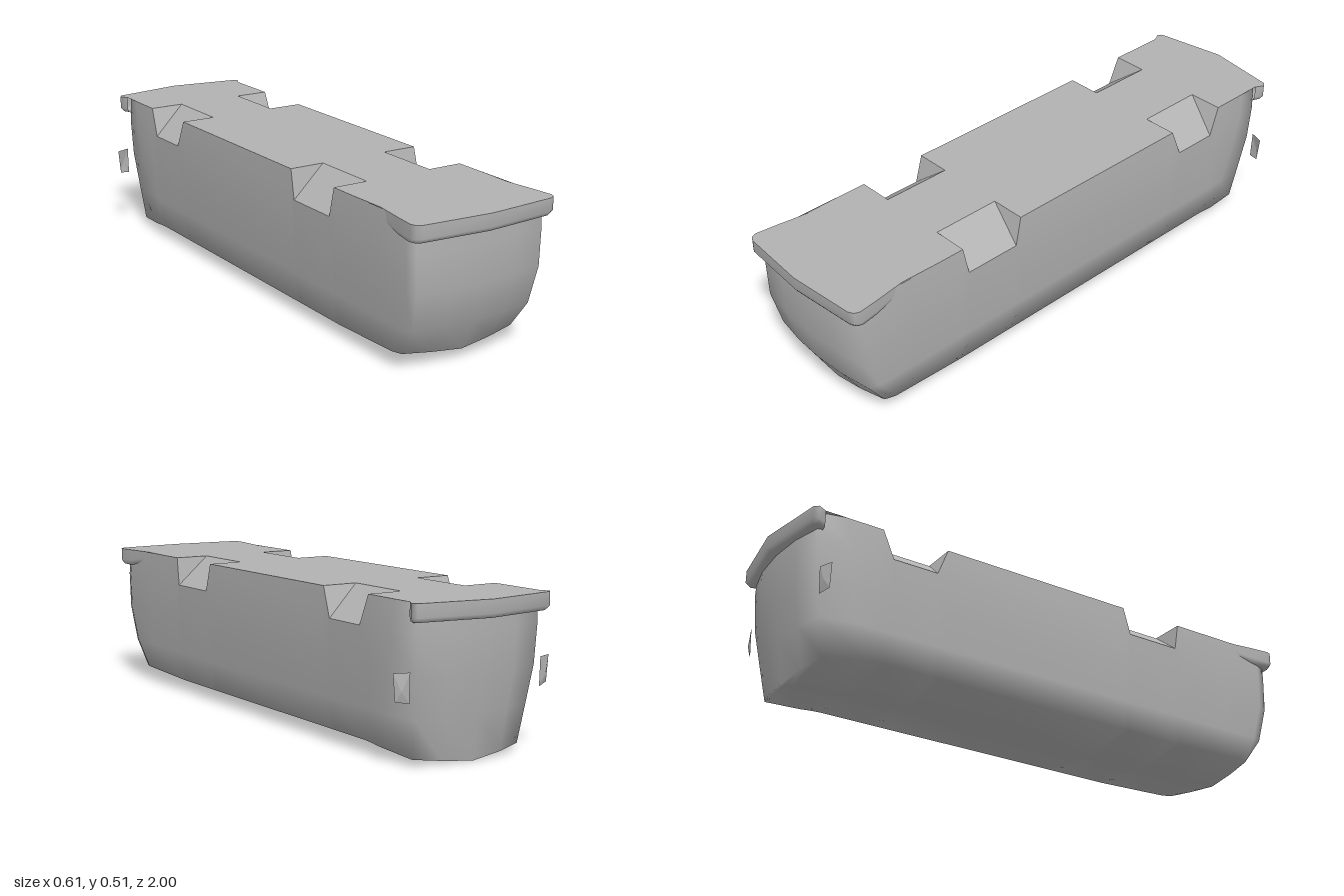
import * as THREE from 'three';
import { mergeVertices } from 'three/addons/utils/BufferGeometryUtils.js';

const TOP = 0.51, FLOOR = 0.41, INNER = 0.125;
// wheel notches: front and back z at the deck, then at the floor
const NOTCHES = [[0.525, 0.275, 0.505, 0.30], [-0.46, -0.705, -0.50, -0.665]];
// hull levels: height, half width, front z, back z, start of the rear taper
const LEVELS = [
  [TOP, 0.25, 0.965, -0.965, -0.84],
  [FLOOR, 0.254, 0.968, -0.966, -0.83],
  [0.28, 0.25, 0.968, -0.958, -0.80],
  [0.15, 0.239, 0.938, -0.935, -0.77],
  [0.045, 0.228, 0.872, -0.912, -0.74],
];

// Smooth surface through rows of points
function loft(rows, closed) {
  const n = rows[0].length, pos = rows.flat(2), index = [];
  const same = (a, b) => [0, 1, 2].every(k => Math.abs(pos[a * 3 + k] - pos[b * 3 + k]) < 1e-5);
  const tri = (a, b, c) => { if (!same(a, b) && !same(b, c) && !same(a, c)) index.push(a, b, c); };
  for (let r = 0; r < rows.length - 1; r++) {
    for (let i = 0; i < (closed ? n : n - 1); i++) {
      const a = r * n + i, b = r * n + (i + 1) % n;
      tri(a, a + n, b);
      tri(b, a + n, b + n);
    }
  }
  let g = new THREE.BufferGeometry();
  g.setAttribute('position', new THREE.Float32BufferAttribute(pos, 3));
  g.setIndex(index);
  g = mergeVertices(g, 1e-5);
  g.computeVertexNormals();
  return g;
}

// Mirror a left half row, running front centre to back centre, into a full loop
function fullLoop(half) {
  return [...half, ...half.slice(1, -1).reverse().map(([x, y, z]) => [-x, y, z])].reverse();
}

// Half outline of the hull at one level
function hullHalf([y, w, zf, zb, taper], level) {
  const bottom = level === LEVELS.length - 1;
  const sides = NOTCHES.flatMap(([f, b, ff, fb]) => [[f, y], [ff, level ? y : FLOOR], [fb, level ? y : FLOOR], [b, y]]);
  const half = [[0, y, zf], [w * 0.5, y, zf - 0.007], [w - 0.012, y, zf - 0.024], [w, y, zf - 0.06], [w, y, 0.74],
    ...sides.map(([z, h]) => [h < y ? LEVELS[1][1] : w, h, z]),
    [w, y, taper], [w - 0.022, y, zb + 0.035], [w * 0.5, y, zb + 0.01], [0, y, zb]];
  if (bottom) for (const p of half) p[1] = keelHeight(p[2]) + 0.025 * Math.min(1, p[0] / w);
  return half;
}

// The keel lifts at the nose and drops at the tail
function keelHeight(z) {
  const lift = THREE.MathUtils.clamp((z - 0.55) / 0.32, 0, 1) * 0.012;
  const drop = THREE.MathUtils.clamp((-z - 0.68) / 0.2, 0, 1) * 0.02;
  return 0.02 + lift - drop;
}

function hullGeometry() {
  const halves = LEVELS.map(hullHalf);
  halves.push(halves[LEVELS.length - 1].map(([, , z]) => [0, keelHeight(z), z]));
  return loft(halves.map(fullLoop), true);
}

// Half outlines of the overhanging rims: x, z, and hull point behind them
const FRONT_RIM = [[0.25, 0.62, 0.25, 0.62], [0.246, 0.77, 0.245, 0.77], [0.262, 0.88, 0.25, 0.88],
  [0.27, 0.95, 0.25, 0.905], [0.263, 0.968, 0.243, 0.93], [0.245, 0.978, 0.23, 0.94], [0, 0.997, 0, 0.96]];
const BACK_RIM = [[0.25, -0.915, 0.235, -0.915], [0.266, -0.945, 0.225, -0.92], [0.255, -0.96, 0.2, -0.93], [0, -1, 0, -0.96]];

function rimGeometry(half, front) {
  const path = [...half, ...half.slice(0, -1).reverse().map(([x, z, hx, hz]) => [-x, z, -hx, hz])];
  if (front) path.reverse();
  const row = (y, t) => path.map(([x, z, hx, hz]) => {
    // the front rim fades upwards along the flanks
    const fade = front ? THREE.MathUtils.clamp((z - 0.62) / 0.28, 0, 1) : 1;
    return [x + (hx - x) * t, TOP - (TOP - y) * fade, z + (hz - z) * t];
  });
  return loft([row(TOP, 0), row(0.466, 0), row(0.452, 0.25), row(0.447, 1)], false);
}

function deckGeometry() {
  const half = [...FRONT_RIM].reverse().map(([x, z]) => [x, z]);
  for (const [f, b] of NOTCHES) half.push([0.25, f], [INNER, f], [INNER, b], [0.25, b]);
  half.push(...BACK_RIM.map(([x, z]) => [x, z]));
  const outline = [...half, ...half.slice(1, -1).reverse().map(([x, z]) => [-x, z])];
  const shape = new THREE.Shape(outline.map(([x, z]) => new THREE.Vector2(x, -z)));
  return new THREE.ShapeGeometry(shape).rotateX(-Math.PI / 2).translate(0, TOP, 0);
}

// Flat faces from triangles
function facets(tris) {
  const g = new THREE.BufferGeometry();
  g.setAttribute('position', new THREE.Float32BufferAttribute(tris.flat(2), 3));
  g.computeVertexNormals();
  return g;
}

// Sloping floor and two triangular end walls
function notchGeometry([f, b, ff, fb], s) {
  const inF = [s * INNER, TOP, f], inB = [s * INNER, TOP, b];
  const outF = [s * 0.25, TOP, f], outB = [s * 0.25, TOP, b];
  const lowF = [s * 0.254, FLOOR, ff], lowB = [s * 0.254, FLOOR, fb];
  const tris = [[inF, lowF, lowB], [inF, lowB, inB], [inF, outF, lowF], [inB, lowB, outB]];
  return facets(s > 0 ? tris : tris.map(([p, q, r]) => [p, r, q]));
}

// Small bent plate standing off the rear flank
function flapGeometry(s) {
  const a = [s * 0.253, 0.302, -0.925], b = [s * 0.303, 0.302, -0.907];
  const c = [s * 0.295, 0.215, -0.907], d = [s * 0.253, 0.207, -0.922];
  const m = [s * 0.28, 0.245, -0.921];
  const tris = [[a, b, m], [b, c, m], [c, d, m], [d, a, m]];
  return facets(s > 0 ? tris.map(([p, q, r]) => [p, r, q]) : tris);
}

export function createModel() {
  const model = new THREE.Group();
  const grey = new THREE.MeshStandardMaterial({ color: 0xb2b2b2, side: THREE.DoubleSide });
  grey.name = 'plain grey';
  const add = (name, geometry) => {
    const mesh = new THREE.Mesh(geometry, grey);
    mesh.name = name;
    model.add(mesh);
  };

  add('hull', hullGeometry());
  add('deck', deckGeometry());
  add('frontRim', rimGeometry(FRONT_RIM, true));
  add('backRim', rimGeometry(BACK_RIM, false));
  for (const [side, s] of [['left', 1], ['right', -1]]) {
    NOTCHES.forEach((n, i) => add(side + (i ? 'Back' : 'Front') + 'Notch', notchGeometry(n, s)));
    add(side + 'Flap', flapGeometry(s));
  }
  return model;
}
